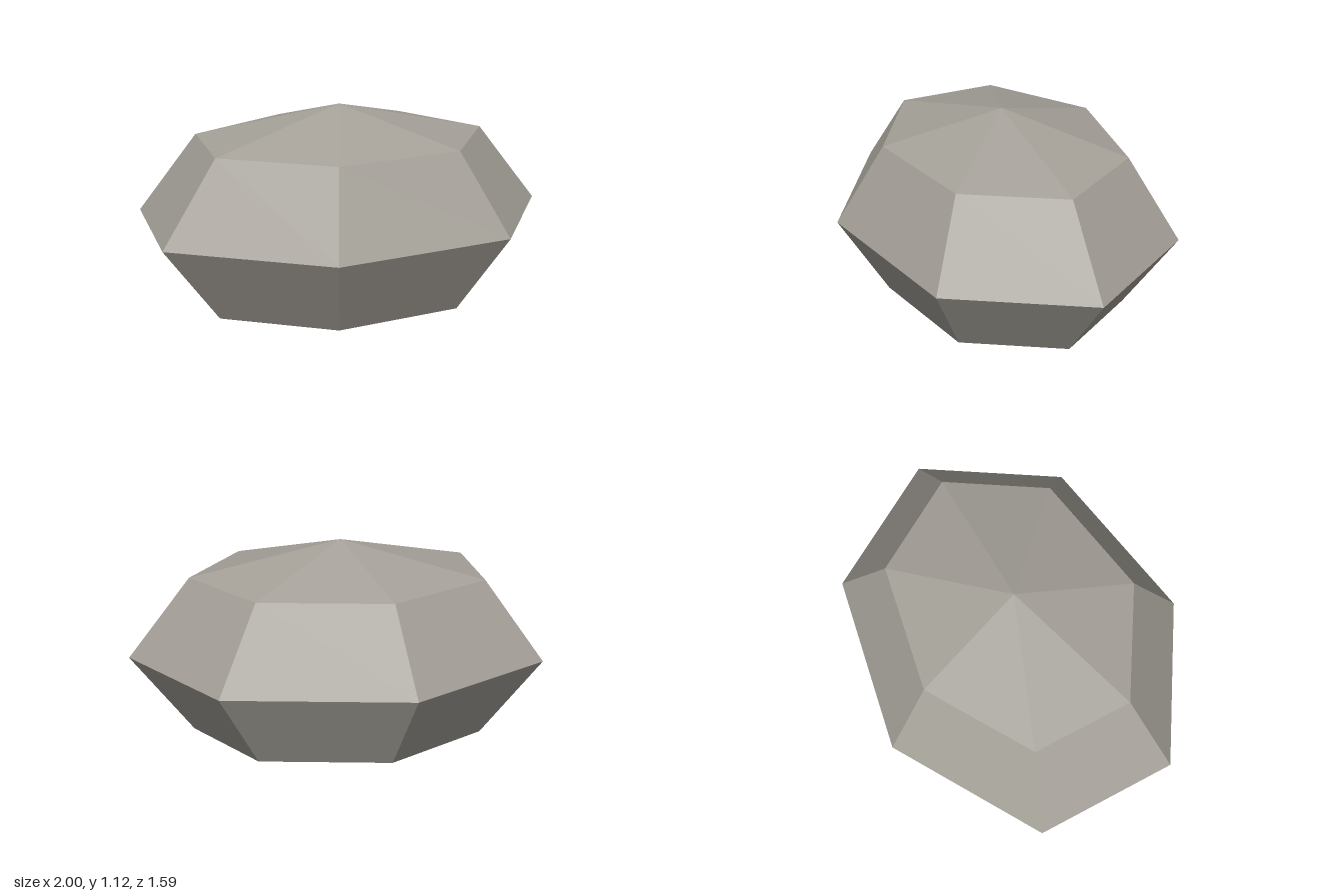
import * as THREE from 'three';

export function createModel() {
  const group = new THREE.Group();
  group.name = 'rock';

  const stone = new THREE.MeshStandardMaterial({ color: 0xa5a199, flatShading: true });
  stone.name = 'warm grey stone';

  // Seven-sided, four-band faceted boulder, flattened into an ellipsoid, one corner on +x
  const radius = 2 / (1 + Math.cos(Math.PI / 7));
  const halfHeight = 0.561;
  const geometry = new THREE.SphereGeometry(1, 7, 4, Math.PI);
  geometry.scale(radius, halfHeight, 0.8155);
  geometry.translate(1 - radius, halfHeight, 0);

  const boulder = new THREE.Mesh(geometry, stone);
  boulder.name = 'boulder';
  group.add(boulder);
  return group;
}
